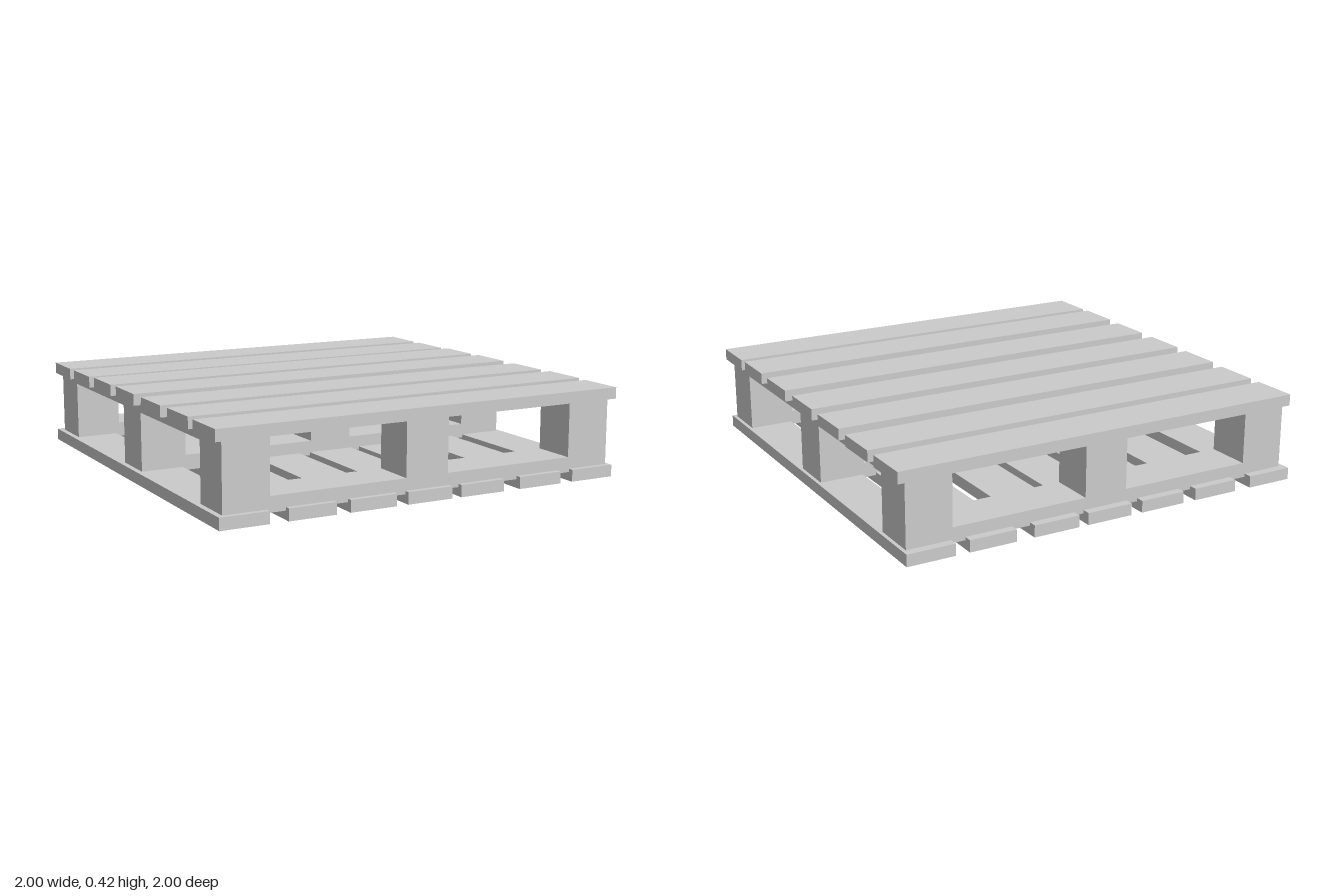
import * as THREE from 'three';

export function createModel() {
  const pallet = new THREE.Group();
  pallet.name = 'pallet';
  const wood = new THREE.MeshStandardMaterial({ color: 0xcccccc, flatShading: true });

  // Box given by its lower and upper limit on each axis
  function addBox(name, [x0, x1], [y0, y1], [z0, z1]) {
    const mesh = new THREE.Mesh(new THREE.BoxGeometry(x1 - x0, y1 - y0, z1 - z0), wood);
    mesh.position.set((x0 + x1) / 2, (y0 + y1) / 2, (z0 + z1) / 2);
    mesh.name = name;
    pallet.add(mesh);
  }

  // Deck boards across the top, laid at slightly uneven heights: [centre z, underside y]
  const deck = [
    [0.88, 0.36], [0.61, 0.363], [0.313, 0.36], [0.002, 0.36],
    [-0.29, 0.357], [-0.58, 0.351], [-0.86, 0.35],
  ];
  for (const [z, y] of deck) addBox('deckBoard', [-1, 1], [y, y + 0.053], [z - 0.111, z + 0.111]);

  // Base boards running front to back
  for (const x of [-0.88, -0.57, -0.28, 0, 0.27, 0.58, 0.87]) {
    addBox('baseBoard', [x - 0.112, x + 0.112], [0, 0.055], [-1, 1]);
  }

  // Blocks, joined by upper rails along z and lower rails along x
  const columns = [[-0.967, -0.753], [-0.107, 0.103], [0.75, 0.965]];
  const rows = [[-0.96, -0.745], [-0.1, 0.11], [0.763, 0.975]];
  for (const xs of columns) {
    for (const zs of rows) addBox('block', xs, [0.04, 0.372], zs);
    for (let i = 0; i < 2; i++) addBox('upperRail', xs, [0.325, 0.372], [rows[i][1], rows[i + 1][0]]);
  }
  for (const zs of rows) {
    for (let i = 0; i < 2; i++) addBox('lowerRail', [columns[i][1], columns[i + 1][0]], [0.04, 0.11], zs);
  }
  return pallet;
}
